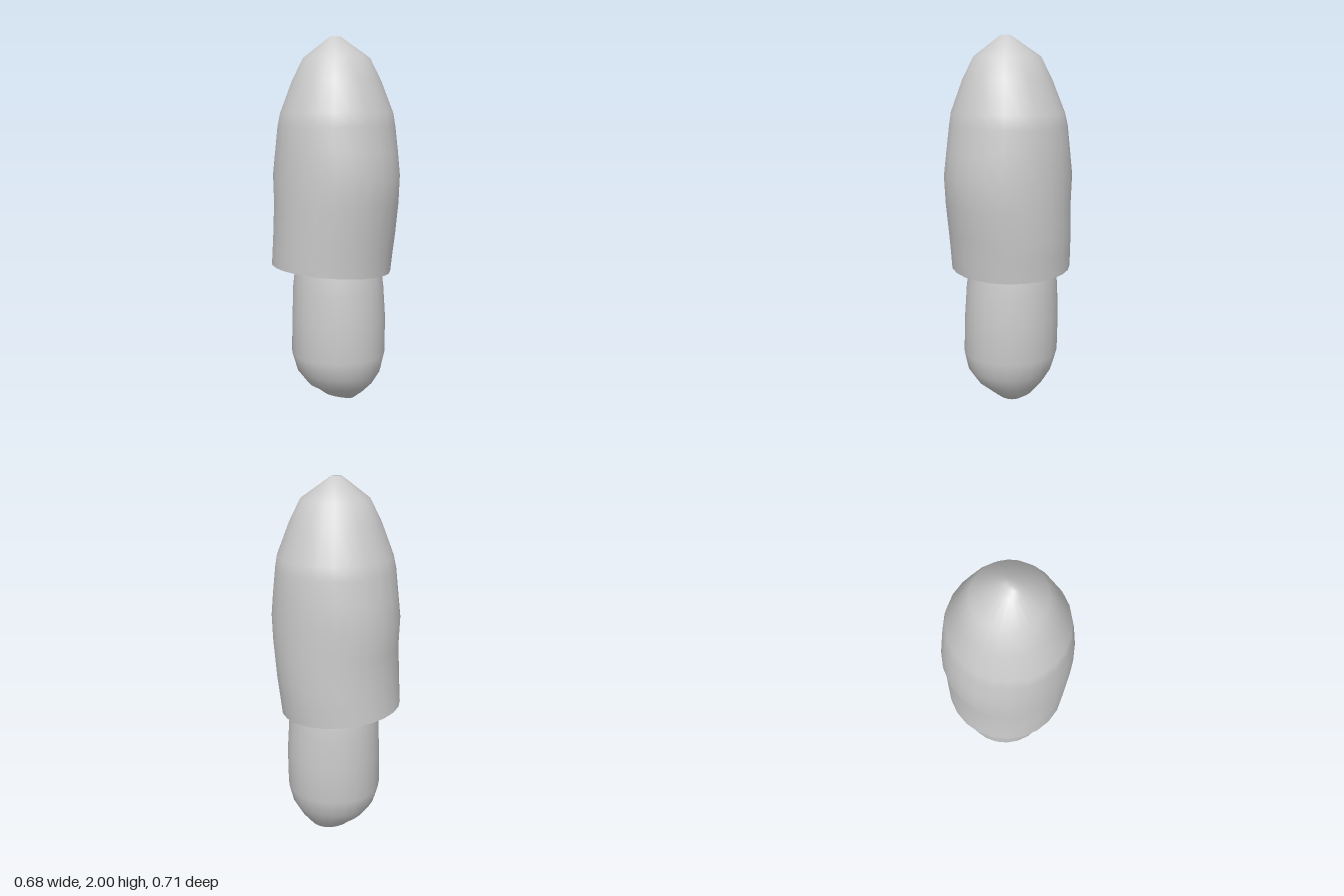
import * as THREE from 'three';

const SIDES = 24;

// Lofts elliptical rings, listed from top to bottom and closed at the end points given.
// Ring: [y, xMin, xMax, zMin, zMax, tiltX, tiltZ]; the tilts slope the ring along x and z.
function loft(rings, { top, bottom }) {
  const pos = [], index = [];
  for (const [y, x0, x1, z0, z1, tiltX = 0, tiltZ = 0] of rings) {
    for (let j = 0; j < SIDES; j++) {
      const a = (j / SIDES) * Math.PI * 2;
      const dx = (x1 - x0) / 2 * Math.cos(a), dz = (z1 - z0) / 2 * Math.sin(a);
      pos.push((x0 + x1) / 2 + dx, y + tiltX * dx + tiltZ * dz, (z0 + z1) / 2 + dz);
    }
  }
  for (let i = 0; i < rings.length - 1; i++) {
    for (let j = 0; j < SIDES; j++) {
      const a = i * SIDES + j, b = i * SIDES + (j + 1) % SIDES;
      index.push(a, b, a + SIDES, b, b + SIDES, a + SIDES);
    }
  }
  const close = (point, row, flip) => {
    const c = pos.length / 3;
    pos.push(...point);
    for (let j = 0; j < SIDES; j++) {
      const a = row * SIDES + j, b = row * SIDES + (j + 1) % SIDES;
      index.push(c, flip ? a : b, flip ? b : a);
    }
  };
  if (top) close(top, 0, false);
  if (bottom) close(bottom, rings.length - 1, true);
  const g = new THREE.BufferGeometry();
  g.setAttribute('position', new THREE.Float32BufferAttribute(pos, 3));
  g.setIndex(index);
  g.computeVertexNormals();
  return g;
}

export function createModel() {
  const group = new THREE.Group();
  const add = (name, geometry, side) => {
    const mesh = new THREE.Mesh(geometry, new THREE.MeshStandardMaterial({ color: 0xcccccc, side }));
    mesh.name = name;
    group.add(mesh);
  };

  // Tall bell-shaped cap, hollow and open below, with a small nib and a slanted rim
  add('cap', loft([
    [2.0, -0.045, 0.02, -0.01, 0.03],
    [1.975, -0.075, 0.055, -0.05, 0.065],
    [1.89, -0.18, 0.175, -0.175, 0.185],
    [1.77, -0.24, 0.235, -0.235, 0.245],
    [1.6, -0.305, 0.305, -0.3, 0.307],
    [1.53, -0.317, 0.318, -0.317, 0.318],
    [1.4, -0.327, 0.328, -0.335, 0.337],
    [1.27, -0.335, 0.335, -0.355, 0.355],
    [1.12, -0.337, 0.336, -0.343, 0.343],
    [0.95, -0.34, 0.334, -0.346, 0.32],
    [0.86, -0.34, 0.326, -0.35, 0.308, -0.025, -0.025],
    [0.76, -0.34, 0.317, -0.355, 0.297, -0.05, -0.05],
  ], { top: [-0.01, 1.995, 0.01] }), THREE.DoubleSide);

  // Rounded stem reaching up into the cap, its foot ending in an off-centre slant
  add('stem', loft([
    [1.15, -0.07, 0.12, -0.1, 0.08],
    [1.08, -0.14, 0.19, -0.17, 0.15],
    [0.95, -0.18, 0.235, -0.215, 0.195],
    [0.76, -0.213, 0.263, -0.25, 0.228],
    [0.65, -0.227, 0.272, -0.26, 0.245],
    [0.48, -0.235, 0.28, -0.264, 0.257],
    [0.28, -0.241, 0.276, -0.264, 0.26],
    [0.18, -0.212, 0.248, -0.235, 0.24],
    [0.105, -0.155, 0.205, -0.18, 0.19],
    [0.06, -0.11, 0.155, -0.125, 0.135, -0.14],
    [0.025, -0.07, 0.097, -0.07, 0.09, -0.25],
  ], { top: [0.025, 1.17, -0.01], bottom: [0.005, 0.035, 0.01] }));

  return group;
}
